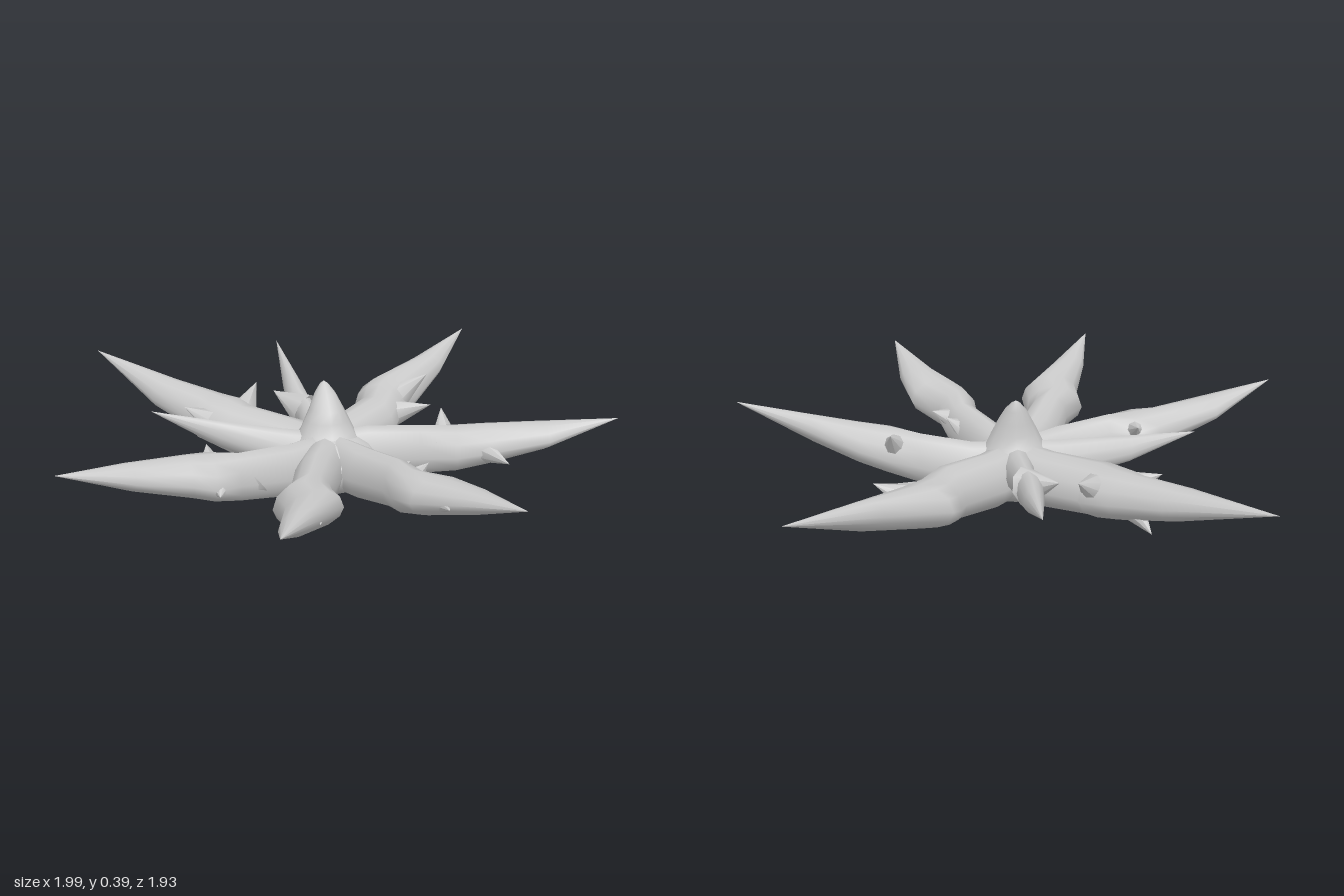
import * as THREE from 'three';

const SIDES = 12;

// Skin a list of rings (each SIDES points, counter-clockwise seen from the start) into one smooth surface.
function skin(rings) {
  const pos = rings.flat(2), index = [];
  for (let i = 0; i < rings.length - 1; i++) {
    for (let k = 0; k < SIDES; k++) {
      const a = i * SIDES + k, b = i * SIDES + (k + 1) % SIDES;
      const c = a + SIDES, d = b + SIDES;
      index.push(a, c, b, b, c, d);
    }
  }
  const g = new THREE.BufferGeometry();
  g.setAttribute('position', new THREE.Float32BufferAttribute(pos, 3));
  g.setIndex(index);
  g.computeVertexNormals();
  return g;
}

// Each arm: tip [x, z], then stations [right x, right z, left x, left z] seen looking outward.
const ARMS = {
  backRightArm: { tip: [-0.73, -0.97], stations: [
    [-0.02, -0.26, -0.17, -0.12], [-0.18, -0.42, -0.35, -0.28], [-0.18, -0.47, -0.44, -0.4],
    [-0.265, -0.53, -0.44, -0.45], [-0.42, -0.67, -0.56, -0.62]] },
  backArm: { tip: [-0.01, -0.935], stations: [
    [0.05, -0.22, -0.06, -0.22], [0.03, -0.35, -0.05, -0.33], [0.025, -0.47, -0.065, -0.46],
    [0.018, -0.61, -0.05, -0.61]] },
  backLeftArm: { tip: [0.775, -0.915], stations: [
    [0.16, -0.13, 0.045, -0.27], [0.3, -0.25, 0.19, -0.42], [0.38, -0.4, 0.21, -0.5],
    [0.46, -0.49, 0.24, -0.55], [0.62, -0.69, 0.46, -0.68]] },
  rightArm: { tip: [-0.615, -0.22], stations: [
    [-0.16, -0.16, -0.16, -0.04], [-0.4, -0.19, -0.38, -0.12]] },
  leftArm: { tip: [0.99, 0.23], stations: [
    [0.14, -0.01, 0.16, -0.14], [0.32, 0.06, 0.33, -0.08], [0.43, 0.135, 0.46, -0.035],
    [0.55, 0.16, 0.55, 0.0], [0.75, 0.205, 0.7, 0.075]] },
  frontRightSideArm: { tip: [-1.0, 0.31], stations: [
    [-0.17, -0.02, -0.15, 0.11], [-0.36, 0.06, -0.36, 0.18], [-0.47, 0.015, -0.45, 0.24],
    [-0.54, 0.05, -0.53, 0.22], [-0.77, 0.145, -0.73, 0.27]] },
  frontRightArm: { tip: [-0.385, 0.96], stations: [
    [-0.18, 0.16, -0.01, 0.17], [-0.24, 0.37, -0.08, 0.34], [-0.305, 0.44, -0.085, 0.42],
    [-0.3, 0.56, -0.08, 0.51], [-0.35, 0.75, -0.21, 0.7]] },
  frontLeftArm: { tip: [0.4, 0.935], stations: [
    [0.02, 0.16, 0.16, 0.14], [0.1, 0.32, 0.22, 0.27], [0.1, 0.43, 0.25, 0.4],
    [0.135, 0.54, 0.345, 0.5], [0.24, 0.67, 0.385, 0.67]] },
};

// Bowed arm: nearly level domed top, rising underside, tapering to a point.
function armGeometry({ tip, stations }) {
  const hub = [0, -0.06], reach = Math.hypot(tip[0] - hub[0], tip[1] - hub[1]);
  const [rx, rz, lx, lz] = stations[0];
  const hx = (rx - lx) / 2, hz = (rz - lz) / 2;
  const all = [[hub[0] + hx, hub[1] + hz, hub[0] - hx, hub[1] - hz], ...stations, [...tip, ...tip]];
  const slim = stations.length < 5;
  return skin(all.map(([ax, az, bx, bz], i) => {
    const cx = (ax + bx) / 2, cz = (az + bz) / 2;
    const t = Math.min(1, Math.hypot(cx - hub[0], cz - hub[1]) / reach);
    const top = 0.215 + 0.075 * Math.pow(t, 1.2);
    let bottom = 0.02 + 0.27 * Math.pow(t, 1.9);
    if (slim) bottom = Math.max(bottom, top - 1.3 * Math.hypot(ax - bx, az - bz));
    const waist = bottom + (top - bottom) * 0.42;
    return Array.from({ length: SIDES }, (_, k) => {
      const a = k / SIDES * Math.PI * 2, c = Math.cos(a), s = Math.sin(a);
      if (i === all.length - 1) return [tip[0], 0.29, tip[1]];
      return [cx + c * (ax - bx) / 2, waist + s * (s > 0 ? top - waist : waist - bottom), cz + c * (az - bz) / 2];
    });
  }));
}

// Thorns: base point buried in an arm, and tip point.
const THORNS = [
  [[-0.26, 0.16, -0.4], [-0.165, 0.25, -0.56]],
  [[-0.33, 0.15, -0.38], [-0.465, 0.22, -0.43]],
  [[-0.33, 0.15, -0.43], [-0.4, 0.09, -0.63]],
  [[-0.01, 0.18, -0.4], [-0.11, 0.23, -0.505]],
  [[0.29, 0.14, -0.38], [0.47, 0.18, -0.345]],
  [[0.34, 0.16, -0.46], [0.5, 0.25, -0.5]],
  [[0.41, 0.15, 0.05], [0.435, 0.26, -0.1]],
  [[0.5, 0.17, 0.05], [0.59, 0.15, 0.23]],
  [[-0.45, 0.16, 0.14], [-0.45, 0.23, -0.01]],
  [[-0.43, 0.15, 0.12], [-0.45, 0.14, 0.265]],
  [[-0.3, 0.13, 0.1], [-0.39, 0.06, 0.12]],
  [[0.15, 0.14, 0.35], [0.275, 0.21, 0.29]],
  [[0.12, 0.13, 0.22], [0.225, 0.2, 0.24]],
  [[0.22, 0.17, 0.48], [0.23, 0.2, 0.68]],
  [[-0.18, 0.17, 0.46], [-0.2, 0.2, 0.69]],
];

function thornGeometry(base, tip) {
  const from = new THREE.Vector3(...base), dir = new THREE.Vector3(...tip).sub(from);
  const len = dir.length();
  const g = new THREE.ConeGeometry(0.068, len, 8);
  g.translate(0, len / 2, 0);
  g.applyQuaternion(new THREE.Quaternion().setFromUnitVectors(new THREE.Vector3(0, 1, 0), dir.normalize()));
  return g.translate(...base);
}

export function createModel() {
  const group = new THREE.Group();
  const grey = new THREE.MeshStandardMaterial({ color: 0xcccccc });
  grey.name = 'light grey';
  const add = (geometry, name) => {
    const mesh = new THREE.Mesh(geometry, grey);
    mesh.name = name;
    group.add(mesh);
  };

  // Radiating arms
  for (const [name, arm] of Object.entries(ARMS)) add(armGeometry(arm), name);

  // Rounded hub where the arms meet
  const hub = new THREE.SphereGeometry(1, 16, 10);
  hub.scale(0.18, 0.11, 0.18).translate(0, 0.11, -0.05);
  add(hub, 'hub');

  // Backward-leaning crest flaring into the hub: [y, half width, front z, back z]
  const crest = [[0.17, 0.13, 0.06, -0.2], [0.22, 0.1, 0.01, -0.165], [0.26, 0.082, -0.005, -0.155],
    [0.3, 0.062, -0.02, -0.15], [0.35, 0.038, -0.07, -0.145], [0.38, 0.015, -0.11, -0.137],
    [0.39, 0, -0.128, -0.128]];
  add(skin(crest.map(([y, w, f, b]) => Array.from({ length: SIDES }, (_, k) => {
    const a = k / SIDES * Math.PI * 2;
    return [w * Math.cos(a), y, (f + b) / 2 + (f - b) / 2 * Math.sin(a)];
  }))), 'crest');

  // Thorns along the arms
  THORNS.forEach(([base, tip]) => add(thornGeometry(base, tip), 'thorn'));
  return group;
}
